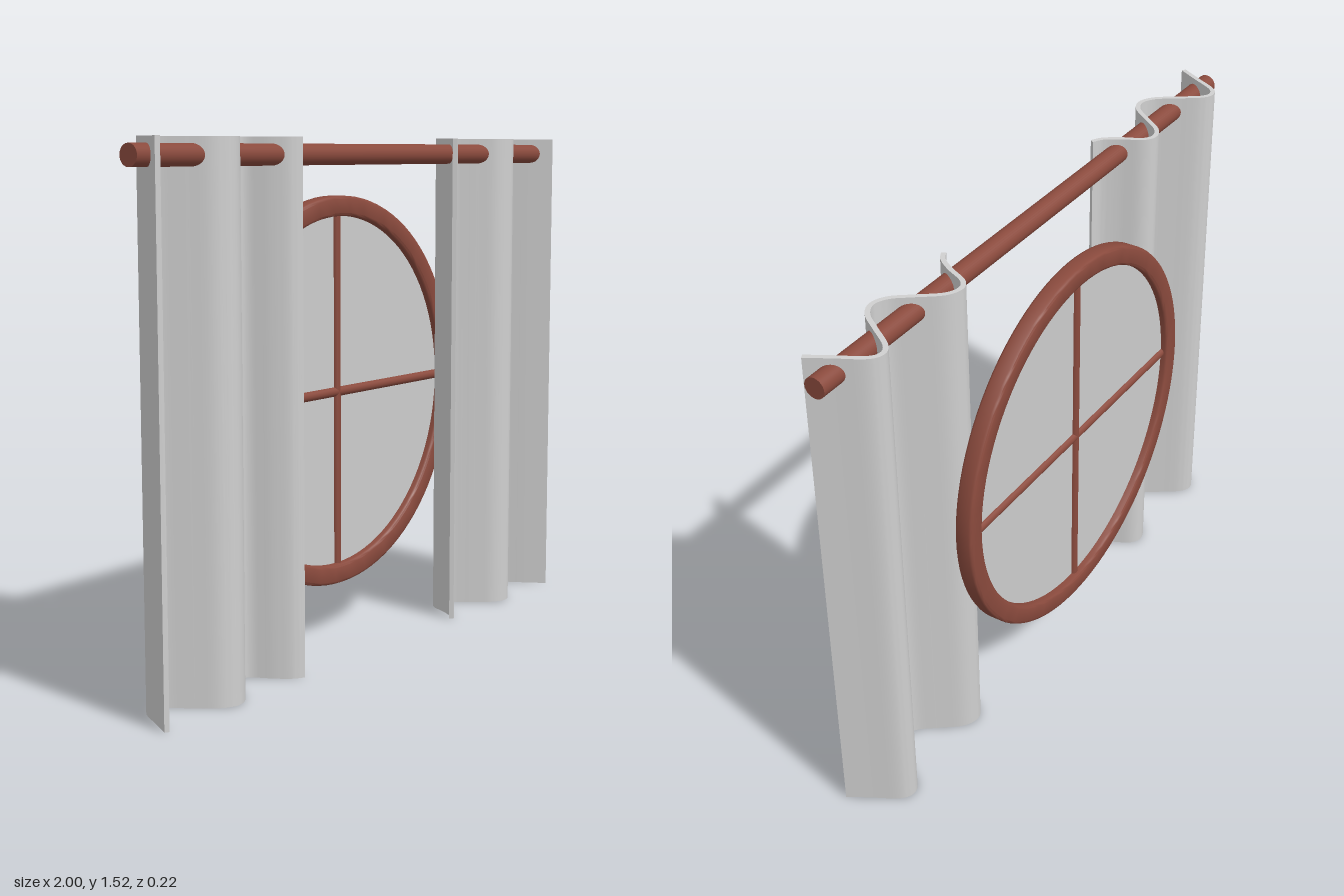
import * as THREE from 'three';
import { toCreasedNormals } from 'three/addons/utils/BufferGeometryUtils.js';

const wood = new THREE.MeshStandardMaterial({ color: 0x8a4a3d });
wood.name = 'reddish brown wood';
const cloth = new THREE.MeshStandardMaterial({ color: 0xd0d0d0 });
cloth.name = 'pale grey cloth';
const pane = new THREE.MeshStandardMaterial({ color: 0xcccccc });
pane.name = 'pale grey glass';

const HEIGHT = 1.525;
const WINDOW_Y = 0.765;
const WINDOW_Z = -0.083;

// Plan view of one curtain's folds, as (x, z)
const FOLDS = [
  [0.38, 0.092], [0.41, 0.073], [0.44, 0.03], [0.47, -0.028], [0.505, -0.047],
  [0.55, -0.028], [0.6, 0.035], [0.64, 0.083], [0.685, 0.1], [0.73, 0.078],
  [0.77, 0.025], [0.815, -0.038], [0.85, -0.056], [0.885, -0.036], [0.925, 0.035], [0.962, 0.1],
];

function addMesh(parent, name, geometry, material) {
  const mesh = new THREE.Mesh(geometry, material);
  mesh.name = name;
  parent.add(mesh);
  return mesh;
}

// Folded sheet of even thickness, extruded from floor to top
function curtainGeometry(side) {
  const half = 0.007;
  const curve = new THREE.SplineCurve(FOLDS.map(([x, z]) => new THREE.Vector2(side * x, z)));
  const front = [], back = [];
  const steps = 90;
  for (let i = 0; i <= steps; i++) {
    const p = curve.getPoint(i / steps);
    const t = curve.getTangent(i / steps);
    const n = new THREE.Vector2(-t.y, t.x).multiplyScalar(half);
    front.push(p.clone().add(n));
    back.unshift(p.clone().sub(n));
  }
  const shape = new THREE.Shape([...front, ...back]);
  const geometry = new THREE.ExtrudeGeometry(shape, { depth: HEIGHT, bevelEnabled: false });
  geometry.rotateX(Math.PI / 2).translate(0, HEIGHT, 0);
  return toCreasedNormals(geometry, 0.7);
}

// Round frame with softened edges
function frameGeometry() {
  const inner = 0.53, outer = 0.59, h = 0.027, b = 0.009;
  const profile = [
    [outer, -h + b], [outer, h - b], [outer - b * 0.3, h - b * 0.3], [outer - b, h],
    [inner + b, h], [inner + b * 0.3, h - b * 0.3], [inner, h - b],
    [inner, -h + b], [inner + b * 0.3, -h + b * 0.3], [inner + b, -h],
    [outer - b, -h], [outer - b * 0.3, -h + b * 0.3], [outer, -h + b],
  ].map(([r, y]) => new THREE.Vector2(r, y));
  const geometry = new THREE.LatheGeometry(profile, 96).rotateX(Math.PI / 2);
  return toCreasedNormals(geometry, 0.9);
}

export function createModel() {
  const model = new THREE.Group();
  model.name = 'curtainedRoundWindow';

  // Curtains, mirrored
  for (const side of [1, -1]) {
    addMesh(model, side > 0 ? 'leftCurtain' : 'rightCurtain', curtainGeometry(side), cloth);
  }

  // Rod threaded through the folds
  const rod = new THREE.CylinderGeometry(0.03, 0.03, 2, 32).rotateZ(Math.PI / 2);
  addMesh(model, 'curtainRod', rod, wood).position.set(0, 1.477, 0.037);

  // Round window behind the curtains
  const roundWindow = new THREE.Group();
  roundWindow.name = 'roundWindow';
  roundWindow.position.set(0, WINDOW_Y, WINDOW_Z);
  model.add(roundWindow);
  addMesh(roundWindow, 'windowFrame', frameGeometry(), wood);
  const glass = new THREE.CylinderGeometry(0.535, 0.535, 0.008, 96).rotateX(Math.PI / 2);
  addMesh(roundWindow, 'glassPane', glass, pane);

  // Crossing glazing bars
  for (const [name, turn] of [['verticalBar', 0], ['horizontalBar', Math.PI / 2]]) {
    const bar = new THREE.CylinderGeometry(0.015, 0.015, 1.08, 20).rotateZ(turn);
    addMesh(roundWindow, name, bar, wood);
  }
  return model;
}
